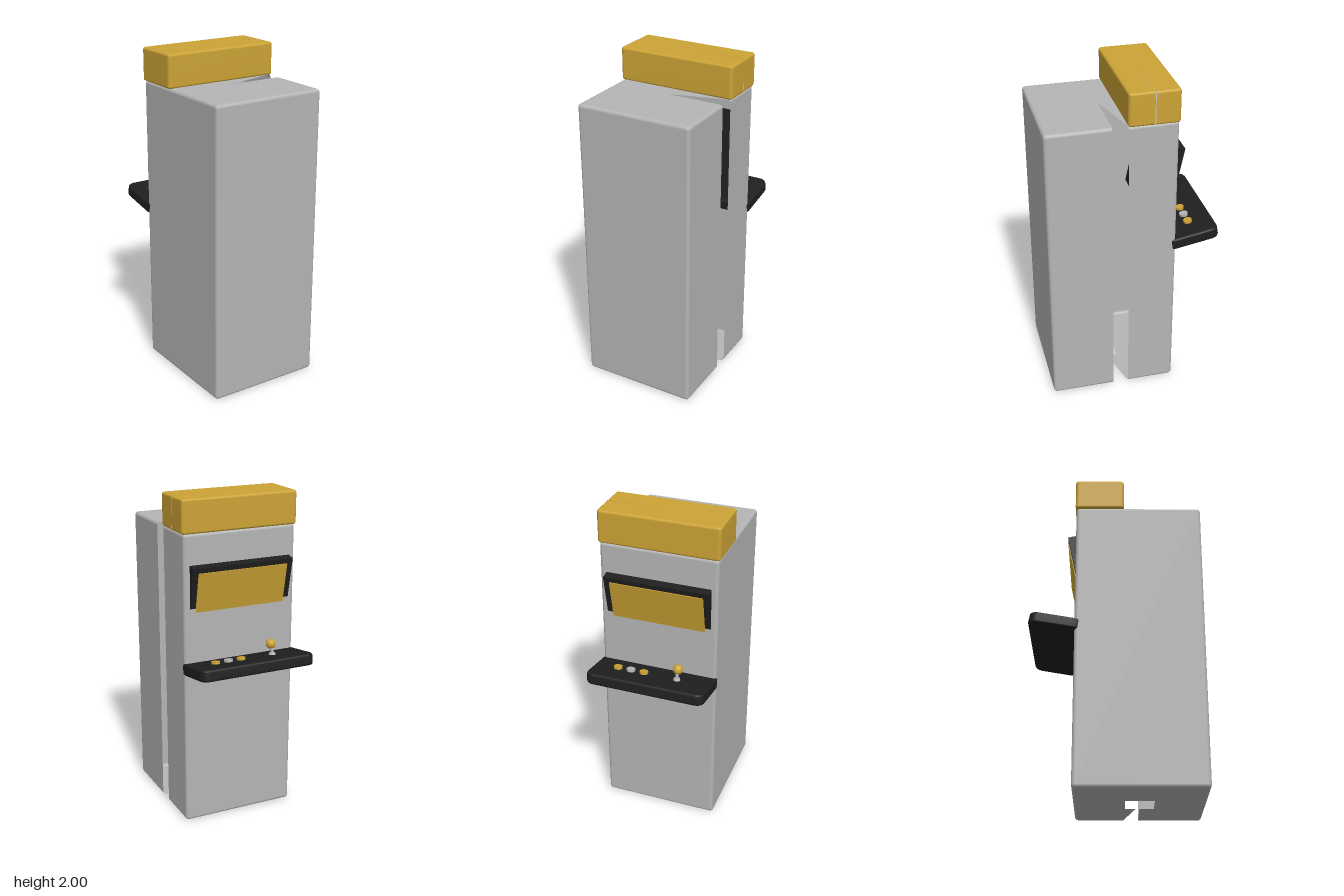
import * as THREE from 'three';

const grey = new THREE.MeshStandardMaterial({ color: 0xb5b5b5, side: THREE.DoubleSide });
grey.name = 'cabinet grey';
const gold = new THREE.MeshStandardMaterial({ color: 0xcca335, side: THREE.DoubleSide });
gold.name = 'gold';
const black = new THREE.MeshStandardMaterial({ color: 0x1f1f1f });
black.name = 'black';

// Open rounded-rectangle ring, from the middle of the +x side round to it again;
// the last point stops short by `gap`.
function ring(hx, hz, r, y, gap) {
  const pts = [[hx, y, 0]];
  [[1, 1], [-1, 1], [-1, -1], [1, -1]].forEach(([sx, sz], q) => {
    for (let i = 0; i <= 4; i++) {
      const a = (q + i / 4) * Math.PI / 2;
      pts.push([sx * (hx - r) + r * Math.cos(a), y, sz * (hz - r) + r * Math.sin(a)]);
    }
  });
  pts.push([hx, y, -gap]);
  return pts;
}

// Rounded block lofted from rings; `gap` leaves a wedge open on +x, `hole` opens the base.
function block({ w, h, d, r, bevel, gap = 0, hole = 0 }) {
  const hx = w / 2, hz = d / 2, rings = [];
  const add = (x, z, rad, y) => rings.push(ring(x, z, rad, y, gap * x / hx));
  add(hole, hole, 0, -h / 2);
  for (const s of [-1, 1]) {
    for (let i = 0; i <= 4; i++) {
      const a = (s < 0 ? 4 - i : i) / 4 * Math.PI / 2;
      const inset = bevel * (1 - Math.cos(a));
      add(hx - inset, hz - inset, r - inset, s * (h / 2 - bevel + bevel * Math.sin(a)));
    }
  }
  add(0, 0, 0, h / 2);
  const n = rings[0].length, index = [];
  for (let i = 0; i < rings.length - 1; i++) {
    for (let j = 0; j < n - 1; j++) {
      const a = i * n + j, b = a + 1, c = a + n, e = c + 1;
      index.push(a, c, b, b, c, e);
    }
  }
  const geo = new THREE.BufferGeometry();
  geo.setAttribute('position', new THREE.Float32BufferAttribute(rings.flat(2), 3));
  geo.setIndex(index);
  geo.computeVertexNormals();
  return geo;
}

function part(parent, name, geo, mat, x, y, z) {
  const mesh = new THREE.Mesh(geo, mat);
  mesh.name = name;
  mesh.position.set(x, y, z);
  parent.add(mesh);
  return mesh;
}

export function createModel() {
  const model = new THREE.Group();
  model.name = 'arcadeCabinet';

  // Tall hollow cabinet with a wedge-shaped slot on its +x side
  part(model, 'cabinet', block({ w: 0.716, h: 1.8, d: 0.77, r: 0.02, bevel: 0.02, gap: 0.095, hole: 0.085 }),
    grey, 0, 0.903, 0.14);

  // Marquee with a hairline seam
  part(model, 'marquee', block({ w: 0.734, h: 0.2, d: 0.302, r: 0.02, bevel: 0.014, gap: 0.005 }),
    gold, 0, 1.9, -0.1);

  // Leaning screen, its lower part sunk into the cabinet
  const screen = new THREE.Group();
  screen.name = 'screenAssembly';
  screen.position.set(0, 1.353, -0.202);
  screen.rotation.x = -0.2;
  part(screen, 'bezel', new THREE.BoxGeometry(0.64, 0.54, 0.08), black, 0, 0, 0);
  part(screen, 'screen', new THREE.BoxGeometry(0.57, 0.48, 0.008), gold, 0, 0, -0.041);
  model.add(screen);

  // Sloping control panel
  const panel = new THREE.Group();
  panel.name = 'controlPanel';
  panel.position.set(0, 1.018, -0.357);
  panel.rotation.x = 0.17;
  part(panel, 'panelBoard', block({ w: 0.73, h: 0.07, d: 0.324, r: 0.05, bevel: 0.014 }), black, 0, 0, 0);
  const button = new THREE.CylinderGeometry(0.026, 0.026, 0.016, 20);
  [0.05, 0.132, 0.214].forEach((x, i) =>
    part(panel, 'button', button, i === 1 ? grey : gold, x, 0.042, -0.012));

  // Joystick
  part(panel, 'stickCollar', new THREE.CylinderGeometry(0.018, 0.022, 0.014, 20), grey, -0.157, 0.041, -0.012);
  part(panel, 'stick', new THREE.CylinderGeometry(0.01, 0.01, 0.06, 12), grey, -0.157, 0.065, -0.012);
  part(panel, 'stickBall', new THREE.SphereGeometry(0.03, 20, 14), gold, -0.157, 0.099, -0.002);
  model.add(panel);

  return model;
}
